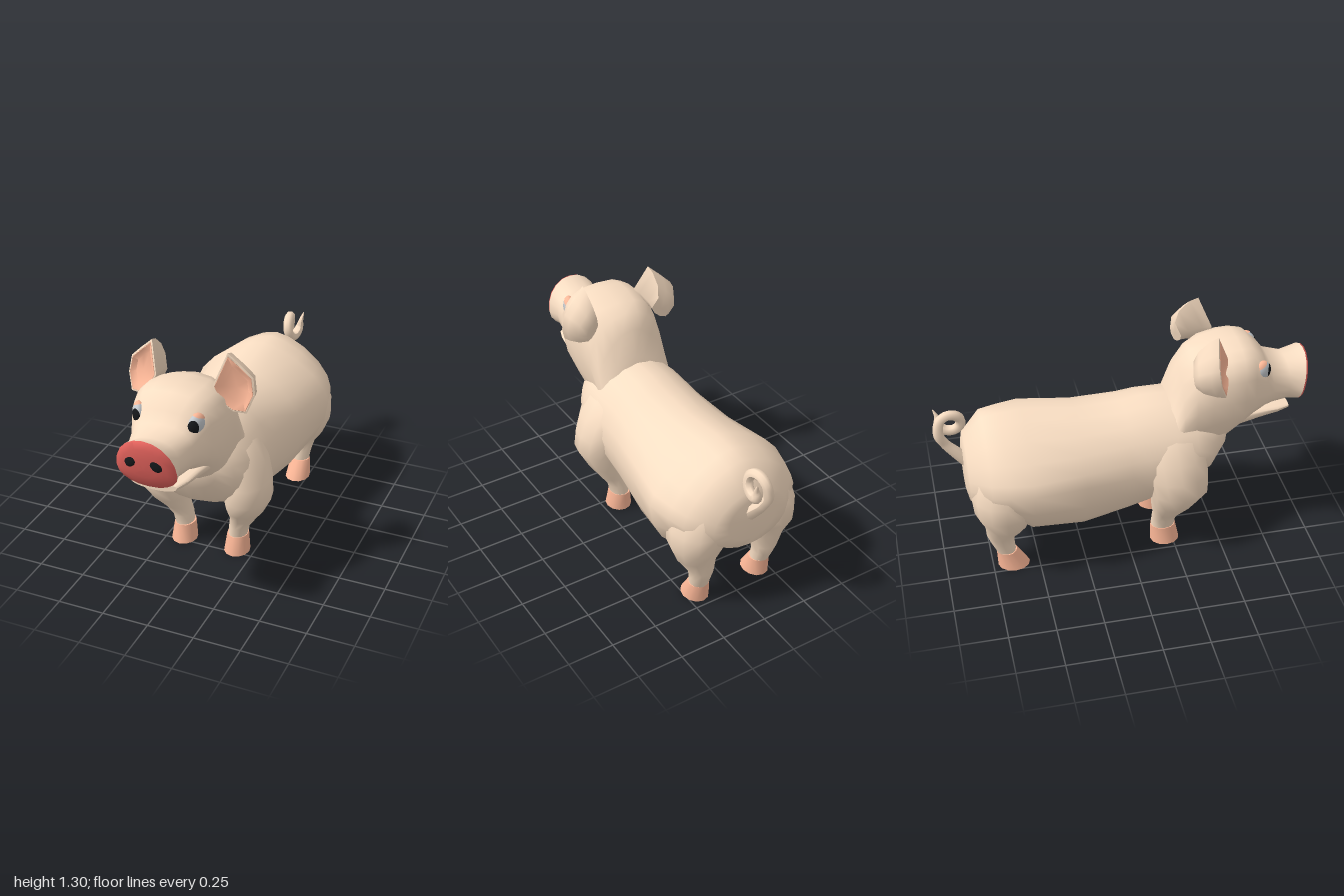
import * as THREE from 'three';
import { toCreasedNormals } from 'three/addons/utils/BufferGeometryUtils.js';

const material = (color) => new THREE.MeshStandardMaterial({ color });
const V = (x, y, z) => new THREE.Vector3(x, y, z);

// Closed skin over a list of equal rings, both ends capped, always facing outward.
function loft(rings, crease = 1) {
  const n = rings[0].length, pts = rings.flat(), idx = [];
  for (let r = 0; r < rings.length - 1; r++) {
    for (let i = 0; i < n; i++) {
      const a = r * n + i, b = r * n + (i + 1) % n;
      idx.push(a, b, a + n, b, b + n, a + n);
    }
  }
  for (const r of [0, rings.length - 1]) {
    const centre = V(0, 0, 0);
    rings[r].forEach((p) => centre.addScaledVector(p, 1 / n));
    const c = pts.push(centre) - 1;
    for (let i = 0; i < n; i++) {
      const a = r * n + i, b = r * n + (i + 1) % n;
      idx.push(...(r === 0 ? [c, b, a] : [c, a, b]));
    }
  }
  let volume = 0;
  for (let i = 0; i < idx.length; i += 3) {
    volume += pts[idx[i]].dot(pts[idx[i + 1]].clone().cross(pts[idx[i + 2]]));
  }
  if (volume < 0) idx.reverse();
  const geo = new THREE.BufferGeometry().setFromPoints(pts);
  geo.setIndex(idx);
  return toCreasedNormals(geo, crease);
}

// Upright ring: the powers make its upper and lower half boxier (below 1) or
// more roof-like (above 1); tilt leans the ring along z.
function section([z, bot, mid, top, hw, pTop = 1, pBot = 1, tilt = 0], n = 20) {
  return Array.from({ length: n }, (_, i) => {
    const a = (i / n) * Math.PI * 2, up = Math.cos(a) > 0, p = up ? pTop : pBot;
    const pow = (v) => Math.sign(v) * Math.abs(v) ** p;
    const y = mid + pow(Math.cos(a)) * (up ? top - mid : mid - bot);
    return V(hw * pow(Math.sin(a)), y, z + tilt * (y - 0.915));
  });
}

// Level oval ring for legs and hooves.
function oval([y, cx, cz, rx, rz], side, n = 12) {
  return Array.from({ length: n }, (_, i) => {
    const a = (i / n) * Math.PI * 2;
    return V(side * (cx + rx * Math.cos(a)), y, cz + rz * Math.sin(a));
  });
}

export function createModel() {
  const pig = new THREE.Group();
  pig.name = 'pig';
  const skin = material(0xf9dec3), pink = material(0xfdb898), red = material(0xe2625c);
  const black = material(0x15171a), white = material(0xc4c8cc);
  const add = (name, geo, mat, parent = pig) => {
    const mesh = new THREE.Mesh(geo, mat);
    mesh.name = name;
    parent.add(mesh);
    return mesh;
  };

  // Trunk from rump to chest: z, bottom, widest height, top, half width, powers
  add('body', loft([
    [-0.853, 0.44, 0.55, 0.68, 0.14],
    [-0.84, 0.39, 0.55, 0.73, 0.22, 1.1],
    [-0.74, 0.36, 0.57, 0.85, 0.335, 1.25],
    [-0.65, 0.29, 0.58, 0.865, 0.365, 1.3],
    [-0.53, 0.2, 0.59, 0.875, 0.395, 1.32, 0.95],
    [-0.25, 0.167, 0.56, 0.84, 0.335, 1.15, 0.88],
    [0, 0.22, 0.55, 0.85, 0.298, 1.03, 0.88],
    [0.1, 0.25, 0.55, 0.87, 0.295, 1.05, 0.9],
    [0.25, 0.3, 0.57, 0.87, 0.3, 1.1, 0.95],
    [0.36, 0.36, 0.58, 0.86, 0.285, 1.1],
    [0.45, 0.42, 0.6, 0.82, 0.24],
    [0.53, 0.54, 0.65, 0.76, 0.17],
    [0.56, 0.62, 0.67, 0.73, 0.1],
  ].map((s) => section(s))), skin);

  // Neck, skull and muzzle in one skin
  add('head', loft([
    [0.2, 0.6, 0.68, 0.8, 0.2],
    [0.255, 0.5, 0.7, 0.895, 0.225, 1.2],
    [0.295, 0.48, 0.76, 1.05, 0.22, 1.15],
    [0.36, 0.47, 0.85, 1.115, 0.222, 0.9],
    [0.44, 0.49, 0.9, 1.14, 0.235, 0.72],
    [0.54, 0.6, 0.91, 1.155, 0.24, 0.64, 0.9],
    [0.61, 0.67, 0.91, 1.16, 0.235, 0.64, 0.85],
    [0.67, 0.735, 0.91, 1.155, 0.215, 0.66, 0.8],
    [0.74, 0.775, 0.9, 1.09, 0.185, 0.75, 0.8],
    [0.78, 0.78, 0.9, 1.035, 0.167, 0.8, 0.8],
    [0.88, 0.782, 0.89, 1.012, 0.142, 0.85, 0.85],
    [0.953, 0.778, 0.88, 1.05, 0.157, 0.98, 0.9, 0.2],
  ].map((s) => section(s))), skin);

  add('lowerJaw', loft([
    [0.48, 0.56, 0.75, 0.8, 0.19, 0.8],
    [0.6, 0.668, 0.772, 0.8, 0.19, 0.7],
    [0.72, 0.695, 0.772, 0.79, 0.168, 0.6],
    [0.82, 0.711, 0.772, 0.783, 0.15, 0.6],
    [0.885, 0.733, 0.77, 0.778, 0.125, 0.6, 0.9],
  ].map((s) => section(s))), skin);

  // Snout disc, slightly domed, with two nostrils
  add('snout', loft([[0.953, 1], [0.962, 0.98], [0.978, 0.75], [0.987, 0.4], [0.99, 0.08]].map(([z, k]) =>
    section([z, 0.9 - 0.122 * k, 0.9 - 0.02 * k, 0.9 + 0.15 * k, 0.157 * k, 0.98, 0.9, 0.2]))), red);

  // Tail: rises from the rump, makes one turn and ends in a point
  const path = [V(0, 0.58, -0.82), V(0, 0.65, -0.885), V(0, 0.71, -0.935), V(-0.005, 0.77, -0.965)];
  for (let i = 0; i <= 10; i++) {
    const a = (i / 10) * Math.PI * 2.1;
    path.push(V(i * 0.0065, 0.82 + 0.058 * Math.sin(a), -0.905 - 0.06 * Math.cos(a)));
  }
  path.push(V(0.075, 0.885, -0.98));
  const curve = new THREE.CatmullRomCurve3(path);
  const tail = new THREE.TubeGeometry(curve, 64, 0.027, 8);
  const pos = tail.attributes.position, v = V(0, 0, 0);
  for (let i = 0; i < pos.count; i++) {
    const t = Math.floor(i / 9) / 64, c = curve.getPointAt(t);
    const k = t > 0.85 ? 1 - (t - 0.85) / 0.17 : 1 + 0.5 * Math.max(0, 0.25 - t) * 4;
    v.fromBufferAttribute(pos, i).sub(c).multiplyScalar(k).add(c);
    pos.setXYZ(i, v.x, v.y, v.z);
  }
  tail.computeVertexNormals();
  add('tail', tail, skin);

  // Leg rings: y, centre x, centre z, radius x, radius z
  const legs = {
    front: [
      [0.09, 0.155, 0.197, 0.05, 0.064], [0.16, 0.165, 0.2, 0.055, 0.068],
      [0.22, 0.19, 0.213, 0.07, 0.08], [0.3, 0.215, 0.24, 0.1, 0.122],
      [0.4, 0.24, 0.266, 0.125, 0.157], [0.5, 0.235, 0.255, 0.12, 0.165],
      [0.6, 0.21, 0.245, 0.115, 0.175], [0.7, 0.155, 0.24, 0.11, 0.17], [0.8, 0.09, 0.24, 0.07, 0.1],
    ],
    hind: [
      [0.09, 0.19, -0.672, 0.05, 0.05], [0.16, 0.195, -0.69, 0.055, 0.062],
      [0.22, 0.198, -0.7, 0.068, 0.074], [0.3, 0.21, -0.668, 0.11, 0.112],
      [0.4, 0.215, -0.675, 0.145, 0.155], [0.5, 0.2, -0.67, 0.16, 0.17],
      [0.62, 0.175, -0.65, 0.15, 0.17], [0.75, 0.12, -0.62, 0.09, 0.12],
    ],
  };
  const hooves = {
    front: [[0, 0.155, 0.21, 0.07, 0.08], [0.105, 0.155, 0.198, 0.057, 0.069]],
    hind: [[0, 0.19, -0.637, 0.07, 0.086], [0.105, 0.19, -0.672, 0.057, 0.055]],
  };

  // Ear rim, from the tip round the outer edge to the inner base
  const rim = [
    V(0.2, 1.3, 0.455), V(0.265, 1.24, 0.44), V(0.325, 1.18, 0.43), V(0.34, 1.09, 0.44),
    V(0.31, 1.005, 0.475), V(0.25, 1.015, 0.5), V(0.185, 1.07, 0.52), V(0.15, 1.145, 0.52),
  ];
  const earRing = (side, k, centre, dz = 0) => rim.map((p) => {
    const q = p.clone().lerp(centre, 1 - k);
    return V(side * q.x, q.y, q.z + dz);
  });

  for (const side of [1, -1]) {
    const tag = side > 0 ? 'Left' : 'Right';
    for (const end of ['front', 'hind']) {
      add(end + 'Leg' + tag, loft(legs[end].map((r) => oval(r, side))), skin);
      add(end + 'Hoof' + tag, loft(hooves[end].map((r) => oval(r, side)), 0.8), pink);
    }

    // Ear shell rounds off into the back of the head; the pink hollow sits inside the rim
    const mid = V(0.245, 1.12, 0.475);
    add('ear' + tag, loft([
      earRing(side, 0.45, V(0.18, 1.06, 0.4), -0.095), earRing(side, 0.7, V(0.2, 1.07, 0.43), -0.095),
      earRing(side, 0.92, V(0.23, 1.1, 0.46), -0.045), earRing(side, 1, mid),
      earRing(side, 0.92, mid, 0.003), earRing(side, 0.72, mid, -0.03),
    ], 0.9), skin);
    add('innerEar' + tag, loft([
      earRing(side, 0.7, mid, -0.045), earRing(side, 0.91, mid, 0.003),
      earRing(side, 0.89, mid, 0.005), earRing(side, 0.6, mid, -0.02),
    ], 0.9), pink);

    // Eye: flattened ball, dark iris cap and pink upper lid
    const eye = new THREE.Group();
    eye.name = 'eye' + tag;
    eye.position.set(side * 0.152, 1.033, 0.712);
    eye.rotation.y = -side * 0.4;
    eye.scale.set(0.62, 1.05, 1);
    add('eyeball', new THREE.SphereGeometry(0.051, 20, 14), white, eye);
    const iris = add('iris', new THREE.SphereGeometry(0.0525, 20, 8, 0, Math.PI * 2, 0, 0.8), black, eye);
    iris.quaternion.setFromUnitVectors(V(0, 1, 0), V(side * 0.55, -0.05, 1).normalize());
    const lid = add('eyelid', new THREE.SphereGeometry(0.056, 20, 6, 0, Math.PI * 2, 0, 0.75), pink.clone(), eye);
    lid.material.side = THREE.DoubleSide;
    lid.rotation.set(-0.35, 0, -side * 0.1);
    pig.add(eye);

    const nostril = add('nostril' + tag, new THREE.SphereGeometry(1, 16, 10), black);
    nostril.scale.set(0.03, 0.04, 0.014);
    nostril.position.set(side * 0.066, 0.938, 0.981);
    nostril.rotation.set(-0.15, side * 0.2, side * 0.6);
  }
  return pig;
}
